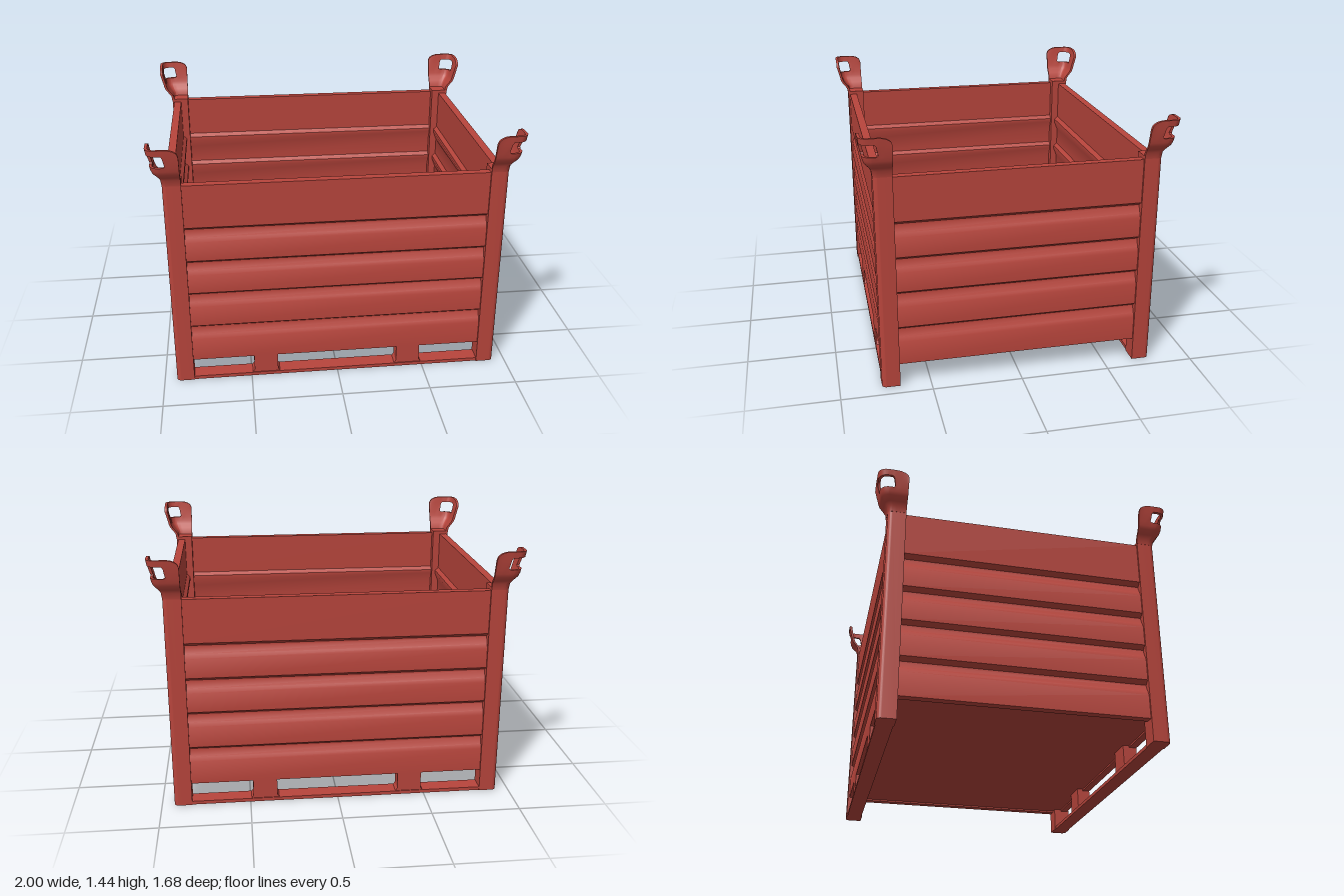
import * as THREE from 'three';
import { toCreasedNormals } from 'three/addons/utils/BufferGeometryUtils.js';

const PX = 0.88, PZ = 0.72, HALF = 0.05; // post centres and half width
const red = new THREE.MeshStandardMaterial({ color: 0xb8453c });

function add(parent, name, geometry, x = 0, y = 0, z = 0, turn = 0) {
  const mesh = new THREE.Mesh(geometry, red);
  mesh.name = name;
  mesh.position.set(x, y, z);
  mesh.rotation.y = turn;
  parent.add(mesh);
  return mesh;
}

// Square post with one rounded outer corner (towards +x +z)
function postGeometry() {
  const r = 0.025, s = new THREE.Shape();
  s.moveTo(-HALF, -HALF);
  s.lineTo(HALF - r, -HALF);
  s.absarc(HALF - r, -HALF + r, r, -Math.PI / 2, 0, false);
  s.lineTo(HALF, HALF);
  s.lineTo(-HALF, HALF);
  const g = new THREE.ExtrudeGeometry(s, { depth: 1.23, bevelEnabled: false, curveSegments: 6 });
  g.rotateX(-Math.PI / 2);
  return toCreasedNormals(g, 0.6);
}

// Wall with grooves pressed inwards; the shape's x axis points outwards
function wallGeometry(length) {
  const grooves = [0.95, 0.75, 0.55, 0.34];
  const outer = [[0, 1.21]], inner = [[-0.045, 1.21]];
  for (const y of grooves) {
    outer.push([0, y + 0.014], [-0.028, y - 0.006], [-0.028, y - 0.016], [-0.012, y - 0.05], [0, y - 0.075]);
    inner.push([-0.045, y + 0.02], [-0.066, y], [-0.066, y - 0.022], [-0.045, y - 0.075]);
  }
  outer.push([0, 0.13]);
  inner.push([-0.045, 0.13]);
  const pts = [...inner, ...outer.reverse()].map(([x, y]) => new THREE.Vector2(x, y));
  const g = new THREE.ExtrudeGeometry(new THREE.Shape(pts), { depth: length, bevelEnabled: false });
  g.translate(0, 0, -length / 2);
  return toCreasedNormals(g, 0.5);
}

// Flared lifting eye: an angle plate bent round the post corner, with a slot through the bend
function eyeGeometry() {
  const T = 0.015;
  // height, flare beyond the post, bend radius, share of the rounded top ends
  const rows = [
    [1.215, 0.001, 0.028, 0], [1.25, 0.006, 0.03, 0], [1.27, 0.02, 0.035, 0], [1.295, 0.04, 0.042, 0],
    [1.315, 0.048, 0.046, 0], [1.338, 0.053, 0.05, 0], [1.37, 0.06, 0.05, 0.2], [1.405, 0.065, 0.05, 0.5], [1.44, 0.07, 0.05, 1],
  ];
  // columns: straight fraction, bend angle, which arm
  const straight = [0, 0.05, 0.12, 0.22, 0.36, 0.52, 0.7, 0.78, 1];
  const cols = straight.map((f) => ({ f, arm: 0 }));
  for (let k = 1; k < 8; k++) cols.push({ f: 1, arm: 1, t: (k / 8) * Math.PI / 2 });
  for (const f of [...straight].reverse()) cols.push({ f, arm: 2 });
  const first = 6, last = cols.length - 7;

  const point = (i, j, inset) => {
    const [y, e, r, w] = rows[j], c = cols[i];
    const a = 2 * HALF + e, s = a - r, q = r - inset;
    let x, z;
    if (c.arm === 0) [x, z] = [c.f * s, s + q];
    else if (c.arm === 2) [x, z] = [s + q, c.f * s];
    else [x, z] = [s + q * Math.sin(c.t), s + q * Math.cos(c.t)];
    const k = 1 - Math.min(c.f * s / 0.07, 1);
    let drop = w * 0.042 * (1 - Math.sqrt(1 - k * k));
    // soften the slot corners
    if (i === first || i === last) drop += j === 7 ? 0.012 : j === 5 ? -0.008 : 0;
    return [x - HALF, y - drop, z - HALF];
  };
  const nc = cols.length - 1, nr = rows.length - 1;
  const solid = (i, j) => i >= 0 && j >= 0 && i < nc && j < nr
    && !(i >= first && i < last && j >= 5 && j < 7);

  const pos = [];
  const quad = (a, b, c, d) => pos.push(...a, ...b, ...c, ...a, ...c, ...d);
  for (let i = 0; i < nc; i++) for (let j = 0; j < nr; j++) {
    if (!solid(i, j)) continue;
    const corners = [[i, j], [i + 1, j], [i + 1, j + 1], [i, j + 1]];
    const o = corners.map(([u, v]) => point(u, v, 0));
    const n = corners.map(([u, v]) => point(u, v, T));
    quad(...o);
    quad(n[3], n[2], n[1], n[0]);
    // close the plate edge wherever the neighbour is open
    [[0, -1], [1, 0], [0, 1], [-1, 0]].forEach(([di, dj], k) => {
      const m = (k + 1) % 4;
      if (!solid(i + di, j + dj)) quad(o[k], n[k], n[m], o[m]);
    });
  }
  const g = new THREE.BufferGeometry();
  g.setAttribute('position', new THREE.Float32BufferAttribute(pos, 3));
  return toCreasedNormals(g, 0.7);
}

// Short foot with a flared weld at its base
function footGeometry() {
  const s = new THREE.Shape();
  [[-0.08, 0], [0.08, 0], [0.068, 0.018], [0.068, 0.125], [-0.068, 0.125], [-0.068, 0.018]]
    .forEach(([x, y], i) => (i ? s.lineTo(x, y) : s.moveTo(x, y)));
  const g = new THREE.ExtrudeGeometry(s, { depth: 0.08, bevelEnabled: false });
  g.translate(0, 0, -0.04);
  return g;
}

export function createModel() {
  const model = new THREE.Group();
  model.name = 'stackingCrate';

  // Corner posts, each with a lifting eye on top
  const post = postGeometry(), eye = eyeGeometry();
  [[1, 1], [1, -1], [-1, -1], [-1, 1]].forEach(([sx, sz], k) => {
    const corner = new THREE.Group();
    corner.name = 'corner';
    corner.position.set(sx * PX, 0, sz * PZ);
    corner.rotation.y = k * Math.PI / 2;
    add(corner, 'post', post);
    add(corner, 'liftingEye', eye);
    model.add(corner);
  });

  // Grooved walls
  const sideWall = wallGeometry(1.36), longWall = wallGeometry(1.68);
  add(model, 'leftWall', sideWall, 0.92, 0, 0, 0);
  add(model, 'backWall', longWall, 0, 0, -0.76, Math.PI / 2);
  add(model, 'rightWall', sideWall, -0.92, 0, 0, Math.PI);
  add(model, 'frontWall', longWall, 0, 0, 0.76, -Math.PI / 2);

  // Floor
  add(model, 'floor', new THREE.BoxGeometry(1.77, 0.02, 1.45), 0, 0.15, 0);

  // Bottom runners on their feet, front and back
  const foot = footGeometry(), runner = new THREE.BoxGeometry(1.68, 0.02, 0.09);
  for (const s of [1, -1]) {
    add(model, 'runner', runner, 0, 0.01, s * PZ);
    for (const x of [-0.415, 0.415]) add(model, 'foot', foot, x, 0.018, s * PZ);
  }
  return model;
}
